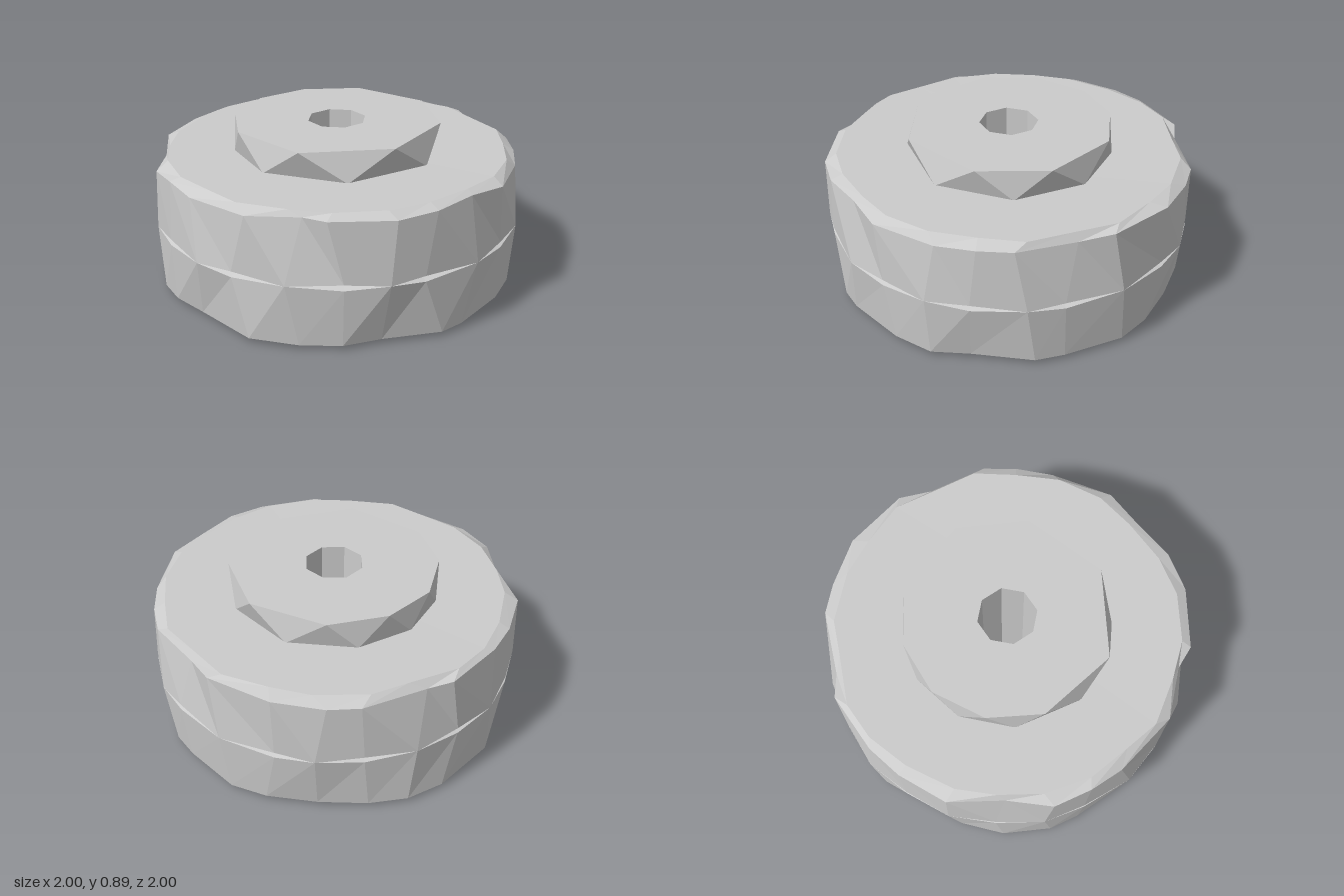
import * as THREE from 'three';

const N = 24; // segments round the tyre
let seed = 11;
const rand = () => (seed = (seed * 16807) % 2147483647) / 2147483647;
const vary = (amount) => (rand() - 0.5) * 2 * amount;

const polar = (r, y, t) => new THREE.Vector3(r * Math.sin(t), y, r * Math.cos(t));

// One ring of points; fn(i, angle) may return its own radius, height and angle shift
function ring(n, fn) {
  return Array.from({ length: n }, (_, i) => {
    const t = (i / n) * Math.PI * 2;
    const [r, y, shift = 0] = fn(i, t);
    return polar(r, y, t + shift);
  });
}

// Flat-faceted skin through successive rings
function loft(rings) {
  const pos = [];
  const tri = (a, b, c) => {
    const area = b.clone().sub(a).cross(c.clone().sub(a)).length();
    if (area > 1e-6) for (const p of [a, b, c]) pos.push(p.x, p.y, p.z);
  };
  for (let k = 0; k < rings.length - 1; k++) {
    const lo = rings[k], hi = rings[k + 1], n = lo.length;
    for (let i = 0; i < n; i++) {
      const j = (i + 1) % n;
      if (k % 2) { tri(lo[i], lo[j], hi[i]); tri(lo[j], hi[j], hi[i]); }
      else { tri(lo[i], lo[j], hi[j]); tri(lo[i], hi[j], hi[i]); }
    }
  }
  const g = new THREE.BufferGeometry();
  g.setAttribute('position', new THREE.Float32BufferAttribute(pos, 3));
  g.computeVertexNormals();
  return g;
}

// Radius at angle t of a regular polygon with the given corner radius
function polygonRadius(r, sides, t) {
  const step = (Math.PI * 2) / sides;
  return (r * Math.cos(step / 2)) / Math.cos((t % step) - step / 2);
}

export function createModel() {
  const group = new THREE.Group();
  const material = new THREE.MeshStandardMaterial({ color: 0xcccccc, flatShading: true });
  const add = (name, geometry) => {
    const mesh = new THREE.Mesh(geometry, material);
    mesh.name = name;
    group.add(mesh);
    return mesh;
  };

  // Recess in the underside: octagonal wall and ceiling, with one torn corner at the rim
  const rim = ring(N, (i, t) => (i === 6 ? [0.77, 0.02] : [polygonRadius(0.52, 8, t), 0.07]));
  add('undersideRecess', loft([
    ring(N, (i, t) => [polygonRadius(0.23, 8, t), 0.7]),
    ring(N, (i, t) => [polygonRadius(0.5, 8, t), 0.7]),
    rim,
  ]));

  // Tyre: dished lower sidewall, rough tread, split centre seam and flat upper sidewall
  const gap = (i) => (i % 2 ? 0.016 : 0);
  const seamShift = Array.from({ length: N }, (_, i) => (i % 2 ? vary(0.07) : 0));
  const seam = (side) => ring(N, (i) => [i % 2 ? 0.985 : 1, 0.365 + side * gap(i), seamShift[i]]);
  const groove = (i) => (i % 5 === 2 ? 0.045 : 0);
  add('tyre', loft([
    rim,
    ring(N, () => [0.84, 0.002]),
    ring(N, (i) => [0.968 + vary(0.015) - groove(i + 2), 0.028, vary(0.08)]),
    seam(-1),
    ring(N, (i) => [i % 2 ? 0.945 : 1, 0.365, seamShift[i]]),
    seam(1),
    ring(N, (i) => [0.985 + vary(0.013) - groove(i), 0.705 + vary(0.015), vary(0.08)]),
    ring(N, (i) => [0.93 + vary(0.02) - groove(i) / 2, 0.738, vary(0.03)]),
    ring(N, () => [0.5, 0.735]),
  ]));

  // Raised collar: uneven nine-sided top over a twisted foot
  const outline = [[-0.33, 0.47], [0.16, 0.54], [0.52, 0.22], [0.55, -0.17], [0.27, -0.5],
    [-0.05, -0.56], [-0.33, -0.46], [-0.52, -0.22], [-0.56, 0.08]];
  const top = outline.map(([x, z]) => new THREE.Vector3(x, 0.89, z));
  const foot = top.map((p, i) => {
    const q = p.clone().add(top[(i + 1) % top.length]).setY(0).setLength(0.56);
    return q.setY(0.73);
  });
  add('collarSide', loft([foot, top]));

  // Collar face with the axle hole
  const face = new THREE.Shape(outline.map(([x, z]) => new THREE.Vector2(x, -z)));
  const bore = (y) => ring(8, () => [0.16, y]);
  face.holes.push(new THREE.Path(bore(0).map((p) => new THREE.Vector2(p.x, -p.z))));
  add('collarFace', new THREE.ShapeGeometry(face).rotateX(-Math.PI / 2).translate(0, 0.89, 0));

  // Axle tube: bore, lower end and outer wall inside the recess
  add('axleTube', loft([
    bore(0.89),
    bore(0.02),
    ring(8, () => [0.23, 0.02]),
    ring(8, () => [0.23, 0.7]),
  ]));

  return group;
}
